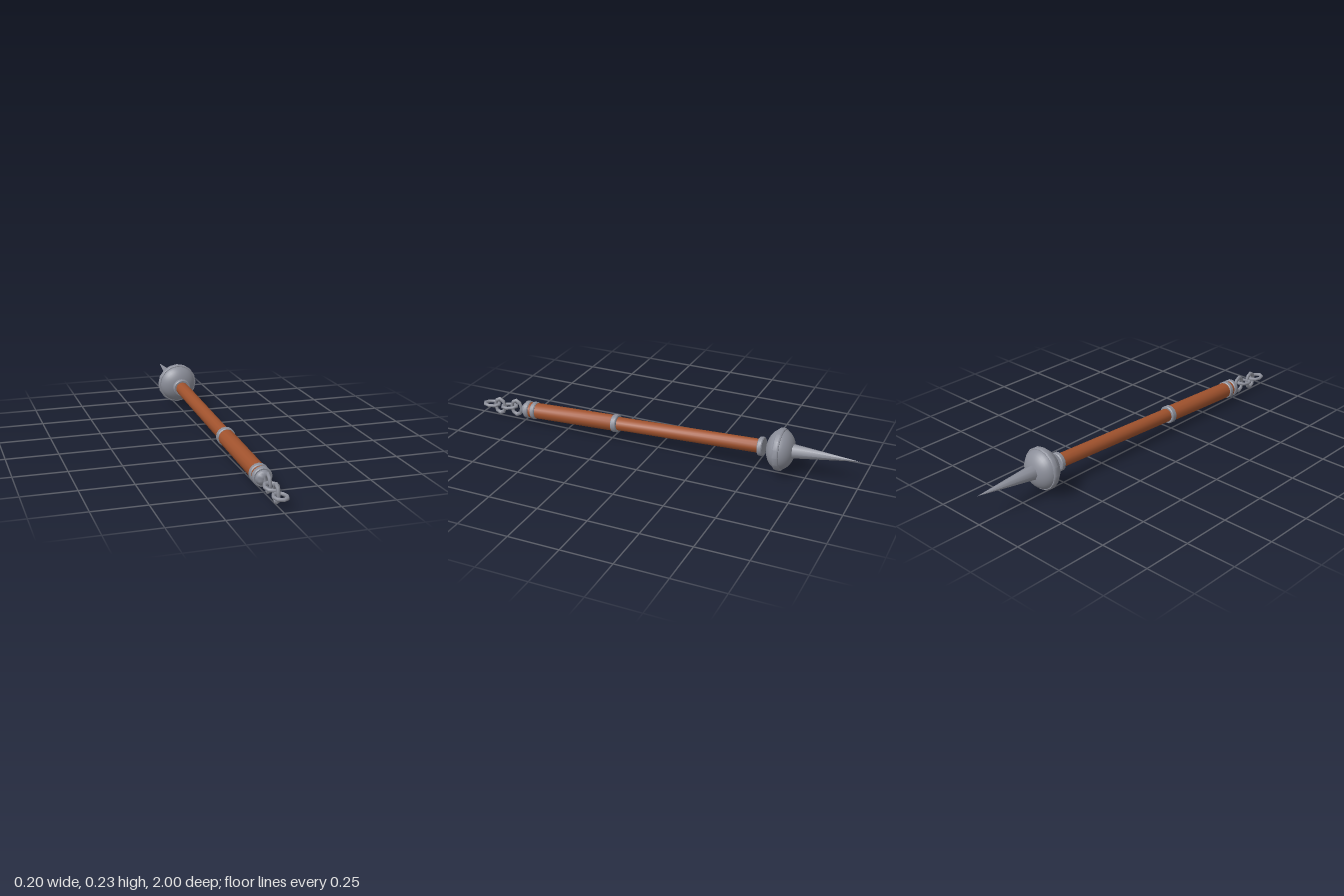
import * as THREE from 'three';
import { toCreasedNormals } from 'three/addons/utils/BufferGeometryUtils.js';

export function createModel() {
  const model = new THREE.Group();
  model.name = 'spikedMace';
  const steel = new THREE.MeshStandardMaterial({ color: 0x8b8e99 });
  steel.name = 'greySteel';
  const wood = new THREE.MeshStandardMaterial({ color: 0xa0522d });
  wood.name = 'reddishWood';

  // Everything rigid is turned about one axis: local +y runs towards the spike
  const shaft = new THREE.Group();
  shaft.name = 'shaft';
  shaft.position.y = 0.098;
  shaft.rotation.x = -(Math.PI / 2 - 0.046);
  model.add(shaft);

  const add = (parent, name, geometry, material) => {
    const mesh = new THREE.Mesh(geometry, material);
    mesh.name = name;
    parent.add(mesh);
    return mesh;
  };
  const turned = (name, points, material, sides = 16, crease = 0.6) => {
    const lathe = new THREE.LatheGeometry(points.map(p => new THREE.Vector2(...p)), sides);
    return add(shaft, name, toCreasedNormals(lathe, crease), material);
  };
  const rod = (name, radius, from, to) =>
    turned(name, [[0, from], [radius, from], [radius, to], [0, to]], wood, 12);
  const ring = (name, radius, from, to) => {
    const b = 0.004;
    return turned(name, [[0, from], [radius - b, from], [radius, from + b],
      [radius, to - b], [radius - b, to], [0, to]], steel);
  };

  // Wooden handle in two thicknesses
  rod('grip', 0.04, -0.72, -0.23);
  rod('upperHandle', 0.0335, -0.23, 0.53);

  // Steel rings
  ring('headCollar', 0.046, 0.521, 0.545);
  ring('middleRing', 0.045, -0.243, -0.214);
  ring('upperGripRing', 0.045, -0.702, -0.677);
  ring('lowerGripRing', 0.045, -0.741, -0.715);

  // Domed pommel
  const pommel = [];
  for (let i = 0; i <= 6; i++) {
    const a = (i / 6) * Math.PI / 2;
    pommel.push([0.036 * Math.sin(a), -0.738 - 0.029 * Math.cos(a)]);
  }
  turned('pommel', pommel, steel);

  // Flattened round head with a raised band
  const head = add(shaft, 'head', new THREE.SphereGeometry(0.096, 32, 20), steel);
  head.scale.y = 0.066 / 0.096;
  head.position.y = 0.627;
  turned('headBand', [[0.09, 0.611], [0.098, 0.612], [0.102, 0.618],
    [0.102, 0.636], [0.098, 0.642], [0.09, 0.643]], steel);

  // Long tapering spike
  const spike = add(shaft, 'spike', new THREE.ConeGeometry(0.036, 0.32, 8), steel);
  spike.position.y = 0.841;

  // Chain of alternating upright and flat oval links
  const link = new THREE.TorusGeometry(0.029, 0.0085, 8, 8);
  link.rotateZ(Math.PI / 2);
  link.scale(1, 1.34, 1);
  const links = [
    [0.801, 0.061, true, 0], [0.844, 0.06, false, 0.1],
    [0.9, 0.052, true, 0], [0.949, 0.055, false, 0],
  ];
  links.forEach(([z, y, upright, tilt], i) => {
    const mesh = add(model, 'chainLink' + (i + 1), link, steel);
    mesh.position.set(0, y, z);
    if (upright) mesh.rotation.y = Math.PI / 2;
    else mesh.rotation.x = -Math.PI / 2 + tilt;
  });

  return model;
}
